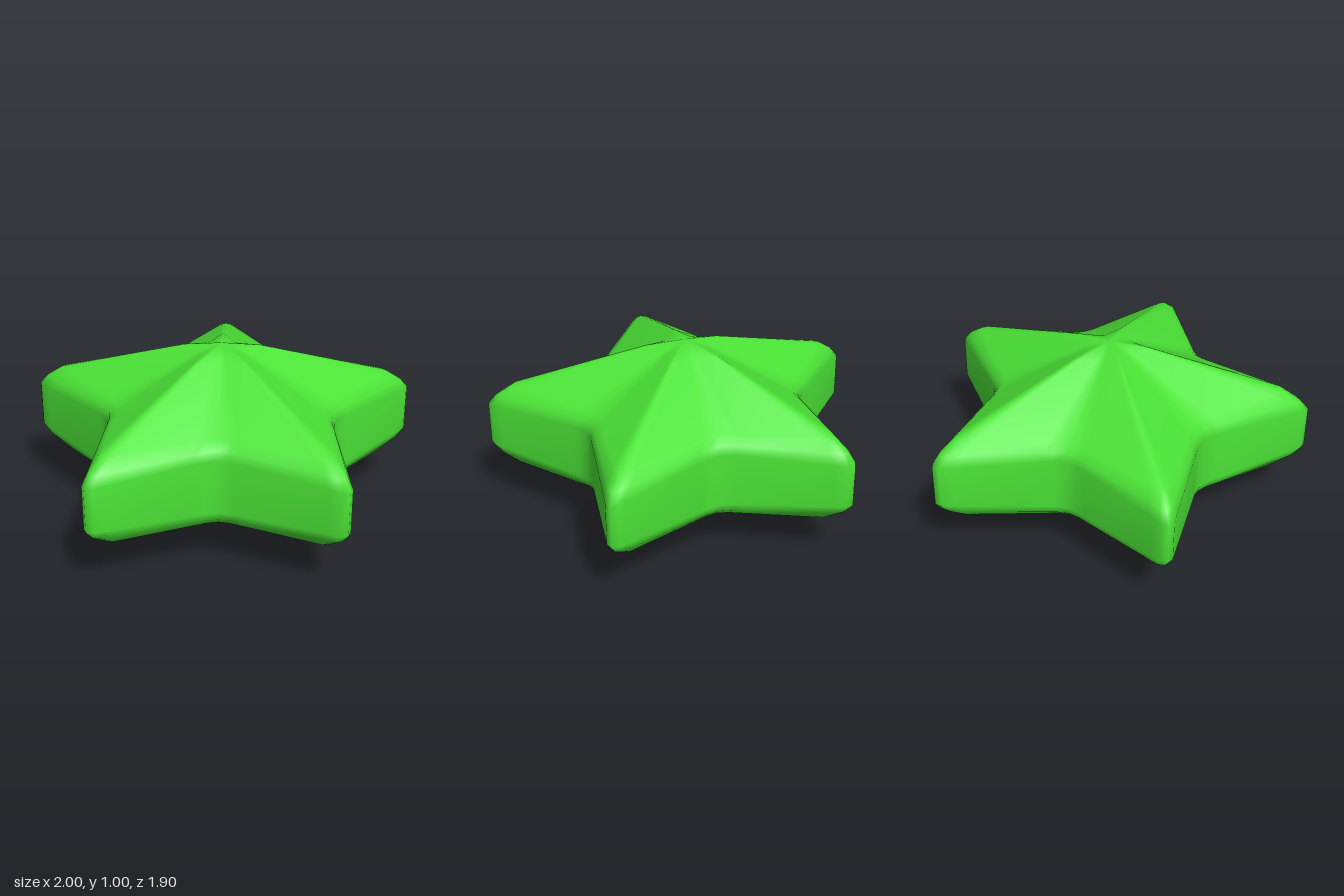
import * as THREE from 'three';

const CENTRE_Z = 0.1, MID_Y = 0.5, TIP_R = 1.05, NOTCH_R = 0.607;

// One arm of the outline as [sideways, outward], from its tip to the next notch
function starOutline() {
  const arm = [
    [-0.065, 0.972], [-0.032, 1.03], [0, TIP_R], [0.032, 1.03], [0.065, 0.972], // blunted tip
    [0.285, 0.588], [0.31, 0.544],                                              // straight edge
    [NOTCH_R * Math.sin(Math.PI / 5), NOTCH_R * Math.cos(Math.PI / 5)],         // rounded notch
  ];
  const points = [];
  for (let k = 0; k < 5; k++) {
    const turn = (k * 2 * Math.PI) / 5;
    // mirrored far side of the notch, leading into the tip
    for (const [x, y] of [[-0.31, 0.544], [-0.285, 0.588], ...arm]) {
      points.push({ angle: turn + Math.atan2(x, y), r: Math.hypot(x, y) });
    }
  }
  return points;
}

function starGeometry() {
  // Upper half, top to rim: scale and height above the middle at tips and at notches
  const half = [
    { tip: [0.2, 0.46], notch: [0.2, 0.458] },
    { tip: [0.87, 0.232], notch: [0.91, 0.228] },
    { tip: [0.955, 0.17], notch: [0.975, 0.19] },
    { tip: [1, 0.115], notch: [1, 0.145] },
  ];
  const levels = [
    ...half.map((l) => ({ ...l, side: 1 })),
    ...half.slice().reverse().map((l) => ({ ...l, side: -1 })),
  ];
  const outline = starOutline();
  const n = outline.length;
  const pos = [], index = [];

  for (const { tip, notch, side } of levels) {
    for (const { angle, r } of outline) {
      const t = THREE.MathUtils.clamp((r - NOTCH_R) / (TIP_R - NOTCH_R), 0, 1);
      const s = r * THREE.MathUtils.lerp(notch[0], tip[0], t);
      const h = THREE.MathUtils.lerp(notch[1], tip[1], t);
      pos.push(s * Math.sin(angle), MID_Y + side * h, CENTRE_Z - s * Math.cos(angle));
    }
  }
  // Points at the top and bottom
  const top = levels.length * n, bottom = top + 1;
  pos.push(0, 1, CENTRE_Z, 0, 0, CENTRE_Z);

  for (let i = 0; i < n; i++) {
    const j = (i + 1) % n;
    for (let k = 0; k < levels.length - 1; k++) {
      const a = k * n + i, b = k * n + j, c = a + n, d = b + n;
      index.push(a, b, d, a, d, c);
    }
    const last = (levels.length - 1) * n;
    index.push(top, j, i, bottom, last + i, last + j);
  }

  const geometry = new THREE.BufferGeometry();
  geometry.setAttribute('position', new THREE.Float32BufferAttribute(pos, 3));
  geometry.setIndex(index);
  geometry.computeVertexNormals();
  return geometry;
}

export function createModel() {
  const group = new THREE.Group();
  group.name = 'star';
  const body = new THREE.Mesh(starGeometry(), new THREE.MeshStandardMaterial({ color: 0x4be336 }));
  body.name = 'starBody';
  group.add(body);
  return group;
}
